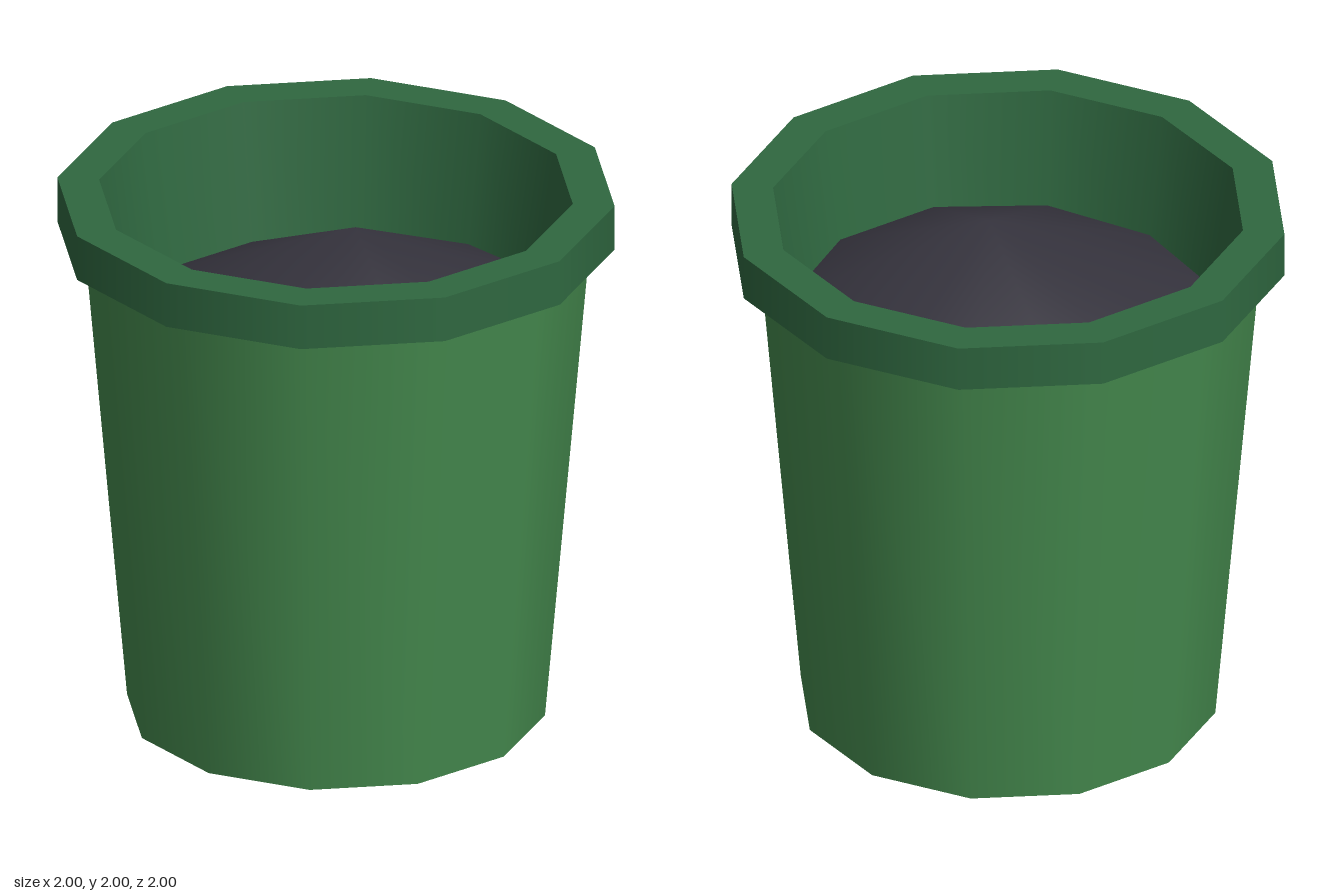
import * as THREE from 'three';
import { mergeVertices } from 'three/addons/utils/BufferGeometryUtils.js';

const SIDES = 12;

function material(name, color) {
  const m = new THREE.MeshStandardMaterial({ color });
  m.name = name;
  return m;
}

export function createModel() {
  const group = new THREE.Group();
  group.name = 'plantPot';

  const bodyGreen = material('leaf green', 0x458a4e);
  const rimGreen = material('dark green', 0x2f6840);
  const soilGrey = material('dark soil', 0x35333d);

  // One ring of faces between two profile points, smooth around, sharp at its ends
  function band(name, mat, from, to) {
    const profile = [new THREE.Vector2(...from), new THREE.Vector2(...to)];
    const mesh = new THREE.Mesh(new THREE.LatheGeometry(profile, SIDES), mat);
    mesh.name = name;
    group.add(mesh);
  }

  // Pot shell, from the centre of the base out, up and back inside
  band('base', rimGreen, [0, 0], [0.75, 0]);
  band('body', bodyGreen, [0.75, 0], [0.91, 1.83]);
  band('rimUnderside', rimGreen, [0.91, 1.83], [1, 1.83]);
  band('rimSide', rimGreen, [1, 1.83], [1, 2]);
  band('rimTop', rimGreen, [1, 2], [0.85, 2]);
  band('innerWall', rimGreen, [0.85, 2], [0.76, 1.4]);

  // Soil heap: a shallow cone with its peak off centre and its edge slightly tilted
  const heap = new THREE.LatheGeometry(
    [new THREE.Vector2(0.782, 1.53), new THREE.Vector2(0, 1.9)], SIDES);
  const p = heap.attributes.position;
  for (let i = 0; i < p.count; i++) {
    if (p.getY(i) > 1.8) p.setXYZ(i, 0.08, 1.9, 0.075);
    else p.setY(i, 1.53 + 0.045 * (p.getX(i) + p.getZ(i)));
  }
  heap.deleteAttribute('uv');
  heap.deleteAttribute('normal');
  const soilGeometry = mergeVertices(heap);
  soilGeometry.computeVertexNormals();
  const soil = new THREE.Mesh(soilGeometry, soilGrey);
  soil.name = 'soil';
  group.add(soil);

  return group;
}
